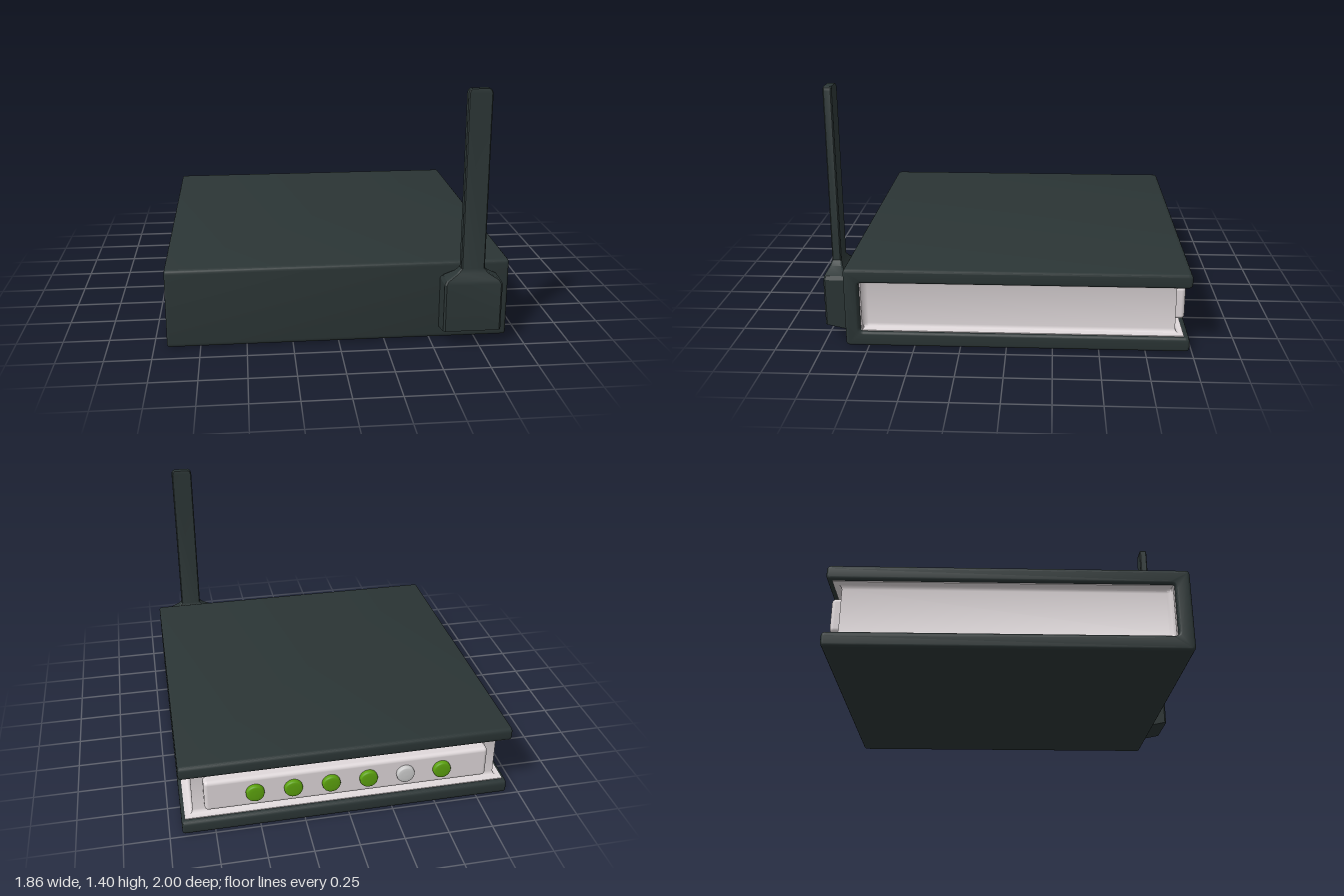
import * as THREE from 'three';
import { toCreasedNormals } from 'three/addons/utils/BufferGeometryUtils.js';
import { RoundedBoxGeometry } from 'three/addons/geometries/RoundedBoxGeometry.js';

const mat = (name, color) => {
  const m = new THREE.MeshStandardMaterial({ color });
  m.name = name;
  return m;
};

// Skin between equal-length closed rings of Vector3 (rising, anticlockwise seen from above), capped at both ends
function loft(rings, crease) {
  const n = rings[0].length, pos = [], idx = [];
  rings.forEach(r => r.forEach(p => pos.push(p.x, p.y, p.z)));
  for (let i = 0; i < rings.length - 1; i++) {
    for (let j = 0; j < n; j++) {
      const a = i * n + j, b = i * n + (j + 1) % n;
      idx.push(a, b, a + n, b, b + n, a + n);
    }
  }
  for (const i of [0, rings.length - 1]) {
    const c = rings[i].reduce((s, p) => s.add(p), new THREE.Vector3()).divideScalar(n);
    const k = pos.length / 3;
    pos.push(c.x, c.y, c.z);
    for (let j = 0; j < n; j++) {
      const a = i * n + j, b = i * n + (j + 1) % n;
      idx.push(k, i ? a : b, i ? b : a);
    }
  }
  const g = new THREE.BufferGeometry();
  g.setAttribute('position', new THREE.Float32BufferAttribute(pos, 3));
  g.setIndex(idx);
  return toCreasedNormals(g, crease);
}

// Polygon shape with every corner rounded by radius r
function roundedShape(pts, r) {
  const s = new THREE.Shape();
  const v = pts.map(p => new THREE.Vector2(...p));
  v.forEach((p, i) => {
    const prev = v[(i + v.length - 1) % v.length], next = v[(i + 1) % v.length];
    const a = prev.clone().sub(p).setLength(r).add(p);
    const b = next.clone().sub(p).setLength(r).add(p);
    if (i === 0) s.moveTo(a.x, a.y); else s.lineTo(a.x, a.y);
    s.quadraticCurveTo(p.x, p.y, b.x, b.y);
  });
  s.closePath();
  return s;
}

export function createModel() {
  const group = new THREE.Group();
  const dark = mat('dark casing', 0x2b3535);
  const white = mat('pale plastic', 0xdfd8da);
  const green = mat('green light', 0x5ca20e);
  const grey = mat('grey light', 0xcccccc);
  const add = (name, geo, material) => {
    const m = new THREE.Mesh(geo, material);
    m.name = name;
    group.add(m);
    return m;
  };

  // Casing: C-shaped profile (-z, y) extruded along x with soft edges
  const profile = roundedShape([
    [-0.877, 0], [0.988, 0], [0.988, 0.08], [-0.8, 0.08],
    [-0.8, 0.367], [0.988, 0.367], [0.988, 0.445], [-0.877, 0.445],
  ], 0.025);
  const bevel = 0.014;
  const shell = new THREE.ExtrudeGeometry(profile, {
    depth: 1.86 - 2 * bevel, curveSegments: 5,
    bevelThickness: bevel, bevelSize: bevel, bevelOffset: -bevel, bevelSegments: 3,
  });
  shell.translate(0, 0, -0.93 + bevel);
  shell.rotateY(Math.PI / 2);
  add('casing', toCreasedNormals(shell, 0.6), dark);

  // Inner core: flares into thin lips where it meets the casing
  const lip = 0.91;
  const coreRing = (y, w) => {
    const back = -w - 0.047;
    return [[-lip, 0.795], [lip, 0.795], [lip, 0.788], [Math.max(w, 0.885), 0.786],
      [w + (lip - w) * 0.2, 0.778], [w, 0.76], [w, back],
      [-w, back], [-w, 0.76], [-w - (lip - w) * 0.2, 0.778],
      [-Math.max(w, 0.885), 0.786], [-lip, 0.788]].map(([x, z]) => new THREE.Vector3(x, y, z));
  };
  const steps = [[0, lip], [0.007, lip], [0.008, 0.889], [0.012, 0.877], [0.02, 0.869], [0.032, 0.866]];
  const lower = steps.map(([d, w]) => coreRing(0.077 + d, w));
  const upper = steps.map(([d, w]) => coreRing(0.37 - d, w)).reverse();
  add('core', loft([...lower, ...upper], 0.7), white);

  // Raised panel carrying the lights
  const panel = add('lightPanel', new RoundedBoxGeometry(1.6, 0.19, 0.1, 4, 0.022), white);
  panel.position.set(0, 0.225, -0.922);

  // Row of round lights
  const button = new THREE.LatheGeometry([
    [0.051, 0], [0.051, 0.018], [0.048, 0.025], [0.042, 0.028], [0.025, 0.0295], [0, 0.03],
  ].map(p => new THREE.Vector2(...p)), 28);
  button.rotateX(-Math.PI / 2);
  for (let i = 0; i < 6; i++) {
    const light = add('light' + (i + 1), button, i === 1 ? grey : green);
    light.position.set(-0.53 + i * 0.211, 0.225, -0.97);
  }

  // Antenna: chamfered rectangles blending from the foot into the flat blade
  const ring = (y, w, z0, z1, c, tilt = 0) => [
    [-w + c, z0, 0], [-w, z0 + c, 0], [-w, z1 - c, 1], [-w + c, z1, 1],
    [w - c, z1, 1], [w, z1 - c, 1], [w, z0 + c, 0], [w - c, z0, 0],
  ].map(([x, z, front]) => new THREE.Vector3(0.708 + x, y + front * tilt, z));
  add('antenna', loft([
    ring(0.065, 0.157, 0.865, 1.0, 0.01, 0.025),
    ring(0.355, 0.157, 0.865, 1.0, 0.01),
    ring(0.375, 0.146, 0.88, 0.995, 0.01),
    ring(0.41, 0.088, 0.906, 0.975, 0.008),
    ring(0.435, 0.0635, 0.916, 0.966, 0.006),
    ring(1.38, 0.0635, 0.917, 0.964, 0.006),
    ring(1.395, 0.058, 0.918, 0.963, 0.006),
    ring(1.402, 0.048, 0.92, 0.961, 0.006),
  ], 0.5), dark);
  return group;
}
